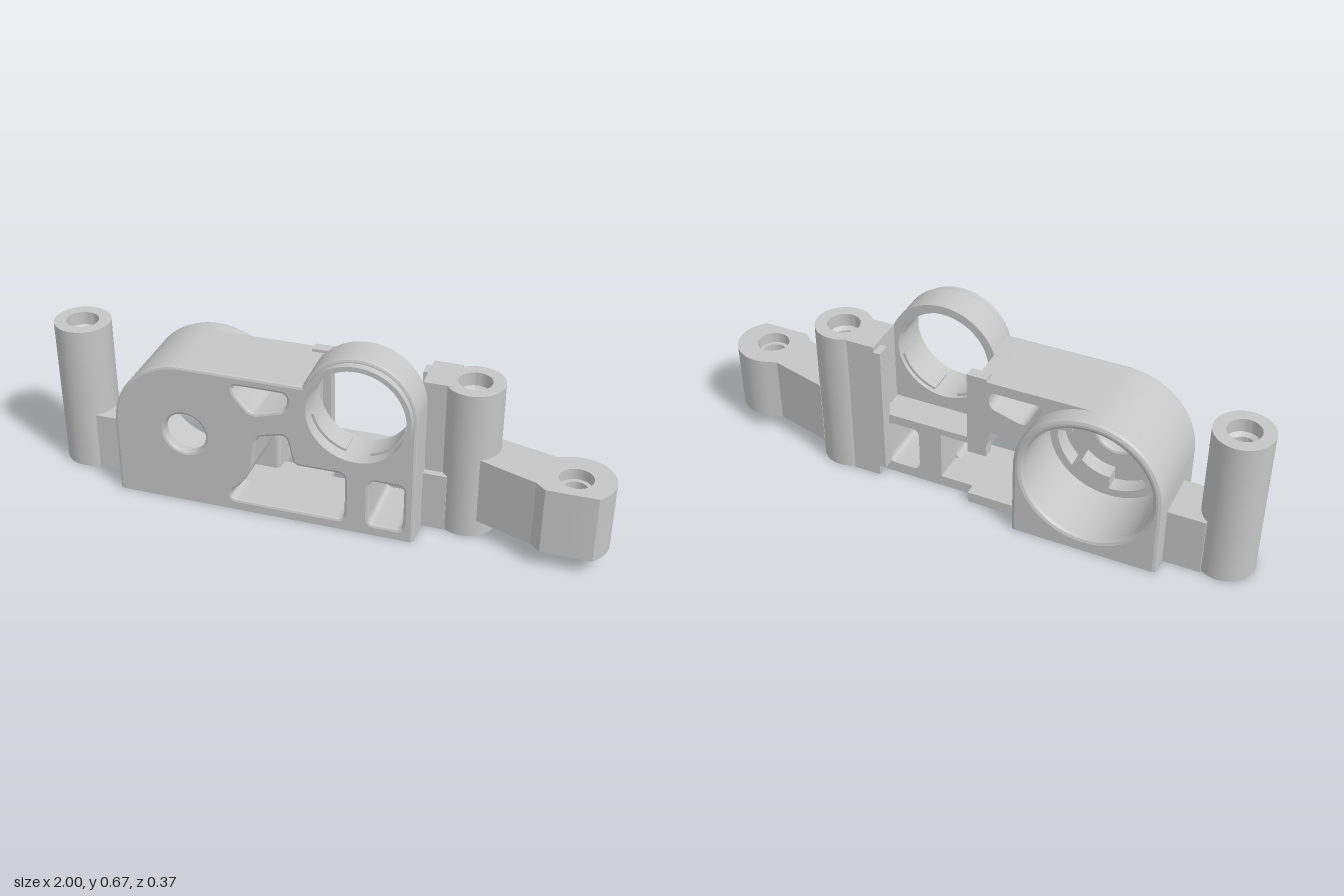
import * as THREE from 'three';
import { toCreasedNormals } from 'three/addons/utils/BufferGeometryUtils.js';

const BARREL = [-0.45, 0.275], RING = [0.163, 0.469];

export function createModel() {
  const model = new THREE.Group();
  model.name = 'bracket';
  const grey = new THREE.MeshStandardMaterial({ color: 0xc6c6c6 });
  grey.name = 'grey';

  function add(name, geometry) {
    const mesh = new THREE.Mesh(toCreasedNormals(geometry, 0.35), grey);
    mesh.name = name;
    model.add(mesh);
    return mesh;
  }

  // Box given by its limits
  function box(name, x0, x1, y0, y1, z0, z1) {
    const g = new THREE.BoxGeometry(x1 - x0, y1 - y0, z1 - z0);
    g.translate((x0 + x1) / 2, (y0 + y1) / 2, (z0 + z1) / 2);
    return add(name, g);
  }

  // Outline extruded from z0 to z1, edges rounded except along the base
  function slab(name, shape, z0, z1, bevel = 0) {
    const g = new THREE.ExtrudeGeometry(shape, {
      depth: z1 - z0 - 2 * bevel, curveSegments: 32, bevelEnabled: bevel > 0,
      bevelThickness: bevel, bevelSize: bevel, bevelOffset: -bevel, bevelSegments: 2,
    });
    g.translate(0, 0, z0 + bevel);
    const p = g.attributes.position;
    if (bevel) for (let i = 0; i < p.count; i++) if (p.getY(i) < bevel + 0.001) p.setY(i, 0);
    return add(name, g);
  }

  const circle = ([x, y], r) => new THREE.Path().absarc(x, y, r, 0, Math.PI * 2, false);

  // Polygon with softened corners
  function softPolygon(points, r) {
    const v = points.map((p) => new THREE.Vector2(...p));
    const path = new THREE.Path();
    v.forEach((p, i) => {
      const toward = (q) => {
        const d = q.clone().sub(p);
        return p.clone().addScaledVector(d, Math.min(r / d.length(), 0.48));
      };
      const a = toward(v.at(i - 1)), b = toward(v[(i + 1) % v.length]);
      if (i) path.lineTo(a.x, a.y); else path.moveTo(a.x, a.y);
      path.quadraticCurveTo(p.x, p.y, b.x, b.y);
    });
    path.closePath();
    return path;
  }

  const barrelSide = [-52, -42, -32, -20].map((deg) => {
    const a = THREE.MathUtils.degToRad(deg);
    return [BARREL[0] + 0.26 * Math.cos(a), BARREL[1] + 0.26 * Math.sin(a)];
  });
  const upperWindow = () => softPolygon(
    [[-0.275, 0.497], [-0.08, 0.497], [-0.08, 0.435], [-0.205, 0.398], [-0.26, 0.46]], 0.025);
  const sideWindow = () => softPolygon(
    [[0.205, 0.04], [0.325, 0.04], [0.325, 0.215], [0.205, 0.215]], 0.025);

  // Front outline with the ring and all openings
  function frontOutline(barrelHole) {
    const s = new THREE.Shape();
    s.moveTo(-0.71, 0).lineTo(0.363, 0).lineTo(0.363, RING[1]);
    s.absarc(...RING, 0.2, 0, Math.PI - Math.asin((0.535 - RING[1]) / 0.2), false);
    s.lineTo(BARREL[0], 0.535);
    s.absarc(...BARREL, 0.26, Math.PI / 2, Math.PI, false);
    s.closePath();
    s.holes.push(
      circle(RING, 0.17), circle(BARREL, barrelHole), upperWindow(), sideWindow(),
      softPolygon([[-0.285, 0.04], [0.12, 0.04], [0.12, 0.225], [-0.06, 0.225],
        [-0.085, 0.338], [-0.19, 0.31], ...barrelSide.toReversed()], 0.025));
    return s;
  }
  slab('frontPlate', frontOutline(0.075), 0.12, 0.16, 0.01);
  slab('frontBody', frontOutline(0.225), 0.035, 0.135);

  // Core behind the plate, around the barrel
  const core = new THREE.Shape();
  core.moveTo(-0.71, 0);
  [[-0.03, 0], [-0.03, 0.04], [-0.285, 0.04], ...barrelSide, [-0.19, 0.31], [-0.085, 0.335],
    [-0.06, 0.225], [-0.03, 0.225], [-0.03, 0.535], [BARREL[0], 0.535]]
    .forEach(([x, y]) => core.lineTo(x, y));
  core.absarc(...BARREL, 0.26, Math.PI / 2, Math.PI, false);
  core.closePath();
  core.holes.push(circle(BARREL, 0.225), upperWindow());
  slab('barrelCore', core, -0.12, 0.035);

  // Low frame below the ring
  const frame = new THREE.Shape([[-0.03, 0], [0.363, 0], [0.363, 0.25], [-0.03, 0.25],
    [-0.03, 0.225], [0.12, 0.225], [0.12, 0.04], [-0.03, 0.04]]
    .map((p) => new THREE.Vector2(...p)));
  frame.holes.push(sideWindow());
  slab('lowerFrame', frame, -0.08, 0.035);

  // Square-footed barrel housing at the back
  const housing = new THREE.Shape();
  housing.moveTo(-0.71, 0).lineTo(-0.19, 0);
  housing.lineTo(-0.19, BARREL[1]);
  housing.absarc(...BARREL, 0.26, 0, Math.PI, false);
  housing.closePath();
  housing.holes.push(circle(BARREL, 0.225));
  slab('barrelHousing', housing, -0.185, -0.07, 0.014);

  // Notched collar on the barrel floor
  const collar = new THREE.Shape();
  collar.absarc(...BARREL, 0.23, 0, Math.PI * 2, false);
  const notches = new THREE.Path();
  for (let i = 0; i < 8; i++) {
    notches.absarc(...BARREL, i % 2 ? 0.195 : 0.145, i * Math.PI / 4, (i + 1) * Math.PI / 4, false);
  }
  notches.closePath();
  collar.holes.push(notches);
  slab('barrelCollar', collar, 0.06, 0.125);

  // Raised rim of the ring, and ribs inside it
  const rim = new THREE.Shape();
  rim.absarc(...RING, 0.187, 0, Math.PI * 2, false);
  rim.holes.push(circle(RING, 0.17));
  slab('ringRim', rim, 0.14, 0.186);
  for (let i = 0; i < 4; i++) {
    const a = i * Math.PI / 2 + 0.25, b = a + 1.05;
    const rib = new THREE.Shape();
    rib.absarc(...RING, 0.175, a, b, false);
    rib.absarc(...RING, 0.16, b, a, true);
    rib.closePath();
    slab('ringRib', rib, 0.05, 0.14);
  }

  // Rails on the back
  box('innerRailTop', -0.07, 0, 0.225, 0.545, -0.12, -0.08);
  box('innerRailFill', -0.04, 0, 0.225, 0.535, -0.09, -0.075);
  box('innerRailFoot', -0.07, 0, 0, 0.04, -0.12, -0.07);
  box('outerRail', 0.32, 0.36, 0.04, 0.53, -0.12, -0.07);

  // Webs joining the body and the posts
  box('leftWeb', -0.84, -0.7, 0, 0.215, -0.12, 0.055);
  box('rightLowWeb', 0.35, 0.445, 0, 0.215, -0.12, 0.055);
  box('rightTallWeb', 0.345, 0.445, 0, 0.55, -0.12, 0.03);

  // Screw posts with counterbored holes
  const profile = [[0.1, 0], [0.1, 0.548], [0.057, 0.548], [0.057, 0.5], [0.042, 0.49],
    [0.042, 0.06], [0.057, 0.05], [0.057, 0], [0.1, 0]].map((p) => new THREE.Vector2(...p));
  for (const [name, x] of [['leftPost', -0.9], ['rightPost', 0.505]]) {
    add(name, new THREE.LatheGeometry(profile, 48)).position.set(x, 0, -0.03);
  }

  // Side arm with its lug, stacked so the hole is wider at both ends
  for (const [y0, y1, r] of [[0.062, 0.105, 0.057], [0.105, 0.265, 0.042], [0.265, 0.305, 0.057]]) {
    const arm = new THREE.Shape();
    arm.moveTo(0.547, -0.055).lineTo(0.75, -0.128).lineTo(0.785, -0.16).lineTo(0.955, -0.16);
    arm.absarc(0.873, -0.065, 0.127, -0.84, 1.9, false);
    arm.lineTo(0.79, 0.042).lineTo(0.58, 0.098);
    arm.closePath();
    arm.holes.push(circle([0.87, -0.065], r));
    const g = new THREE.ExtrudeGeometry(arm, { depth: y1 - y0, bevelEnabled: false, curveSegments: 32 });
    g.rotateX(-Math.PI / 2).translate(0, y0, 0);
    add('sideArm', g);
  }
  return model;
}
